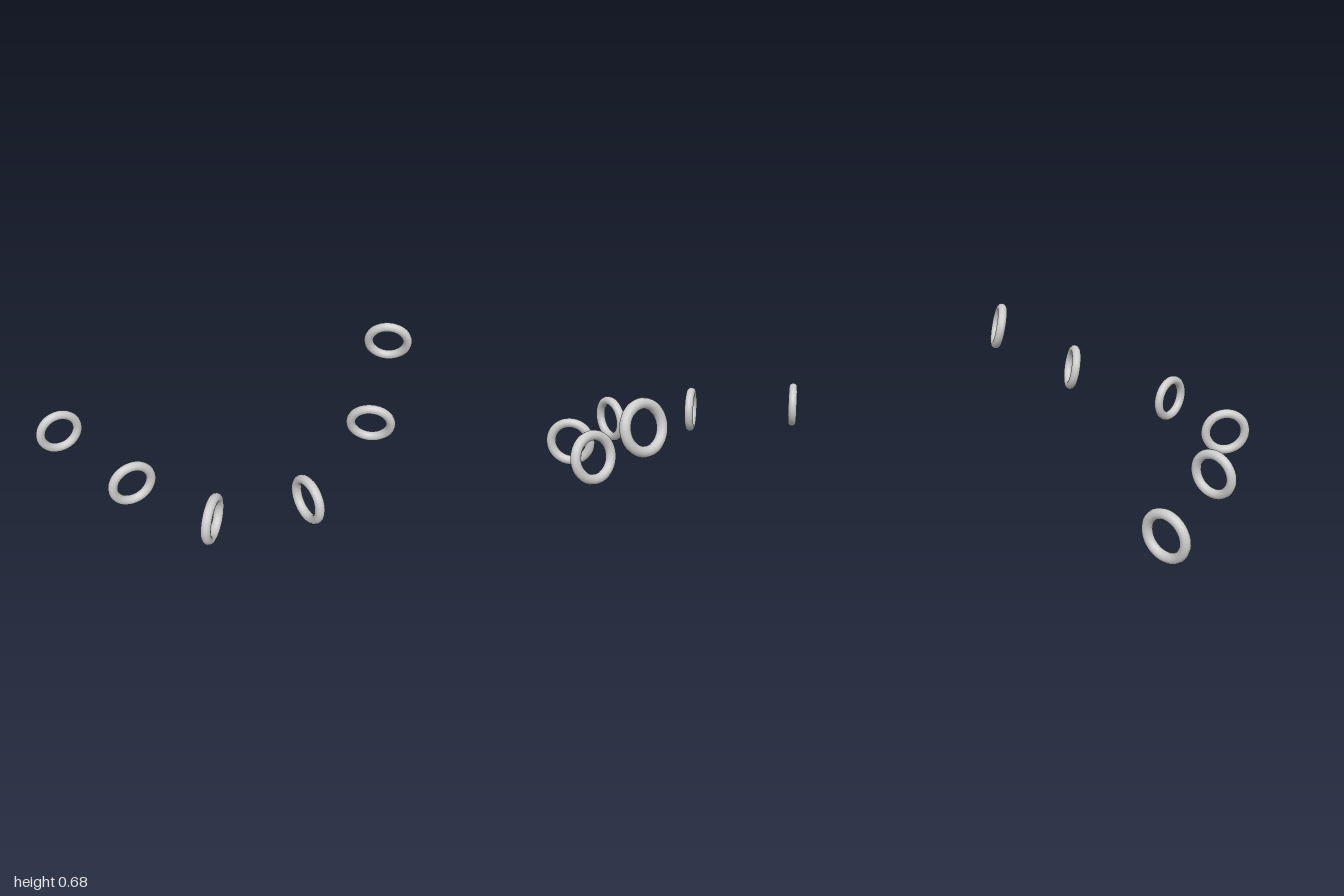
import * as THREE from 'three';

// Each ring: centre and the direction its opening faces
const RINGS = [
  { at: [-0.867, 0.134, -0.65], facing: [0, 0, 1] },
  { at: [-0.687, 0.134, -0.035], facing: [0, 0, 1] },
  { at: [-0.445, 0.134, 0.415], facing: [0.707, 0, 0.707] },
  { at: [0.038, 0.156, 0.542], facing: [1, 0, -0.03] },
  { at: [0.587, 0.283, 0.293], facing: [-0.61, -0.21, 0.77] },
  { at: [0.888, 0.552, -0.006], facing: [-0.6, -0.24, 0.76] },
];

export function createModel() {
  const group = new THREE.Group();
  group.name = 'ringCourse';
  const material = new THREE.MeshStandardMaterial({ color: 0xcccccc });
  const geometry = new THREE.TorusGeometry(0.108, 0.026, 12, 48);

  // Curved trail of identical rings
  RINGS.forEach(({ at, facing }, i) => {
    const ring = new THREE.Mesh(geometry, material);
    ring.name = `ring${i + 1}`;
    ring.position.set(...at);
    ring.lookAt(new THREE.Vector3(...at).add(new THREE.Vector3(...facing)));
    group.add(ring);
  });
  return group;
}
